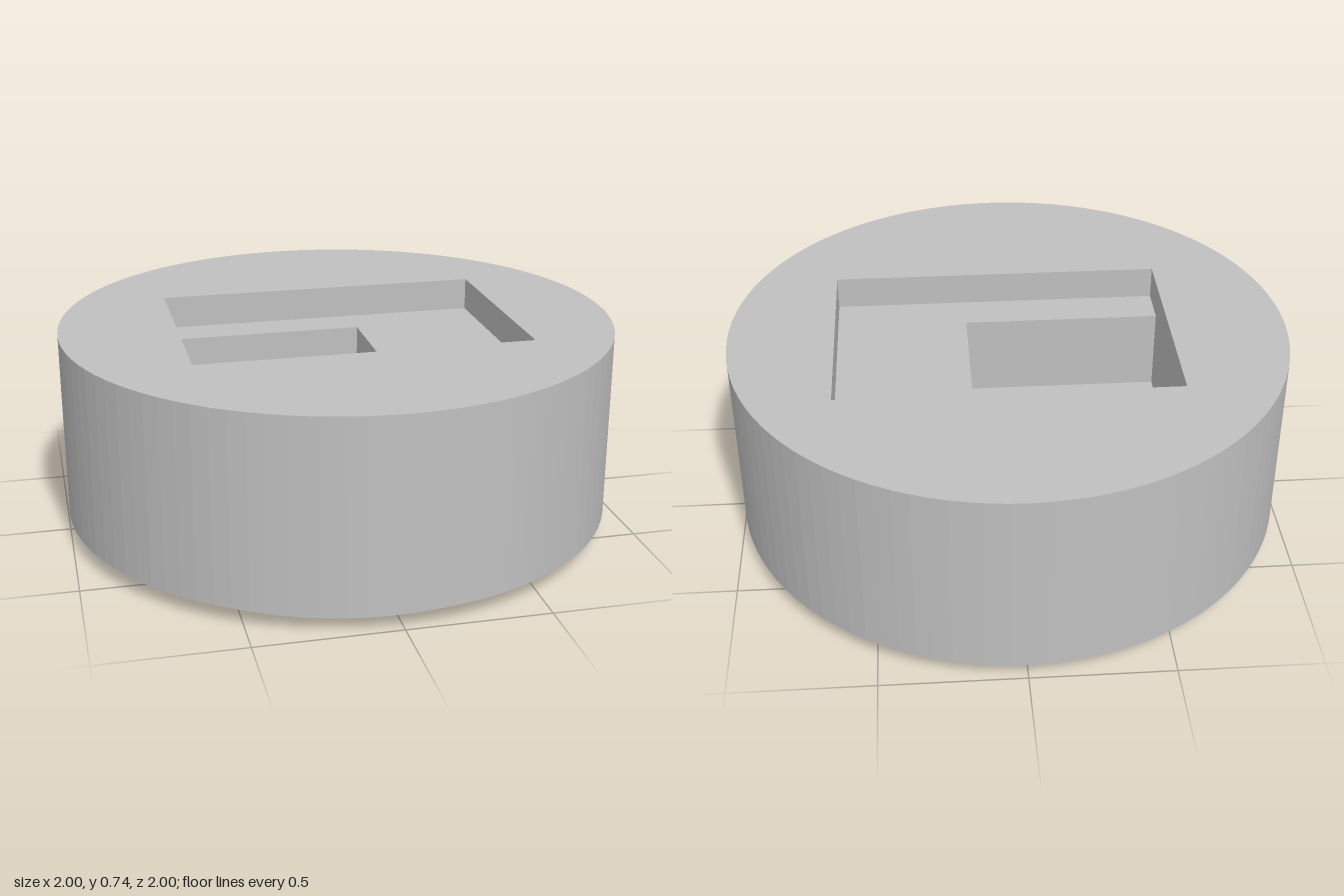
import * as THREE from 'three';

const mirrorZ = (pts) => pts.map(([x, z]) => [x, -z]);
const rect = (x0, x1, z0, z1) => [[x0, z0], [x1, z0], [x1, z1], [x0, z1]];

export function createModel() {
  const group = new THREE.Group();
  const grey = new THREE.MeshStandardMaterial({ color: 0xc0c0c0 });
  grey.name = 'light grey';

  // Horizontal slice of the puck: a disc with polygonal or round holes
  function slab(name, radius, y0, y1, holes, boreRadius) {
    const shape = new THREE.Shape().absarc(0, 0, radius, 0, Math.PI * 2);
    for (const pts of holes) {
      shape.holes.push(new THREE.Path(pts.map(([x, z]) => new THREE.Vector2(x, -z))));
    }
    if (boreRadius) shape.holes.push(new THREE.Path().absarc(0, 0, boreRadius, 0, Math.PI * 2));
    const geometry = new THREE.ExtrudeGeometry(shape, {
      depth: y1 - y0, bevelEnabled: false, curveSegments: 50,
    });
    geometry.rotateX(-Math.PI / 2).translate(0, y0, 0);
    const mesh = new THREE.Mesh(geometry, grey);
    mesh.name = name;
    group.add(mesh);
  }

  // Cut-outs
  const lowerPocket = rect(-0.25, 0.25, 0.11, 0.81);
  const slot = rect(-0.1, 0.1, 0.08, 0.163);
  const pocketWithSlot = [
    [-0.1, 0.08], [0.1, 0.08], [0.1, 0.11], [0.25, 0.11],
    [0.25, 0.81], [-0.25, 0.81], [-0.25, 0.11], [-0.1, 0.11],
  ];
  const both = (pts) => [pts, mirrorZ(pts)];

  // Slices from bottom to top
  slab('bottomLip', 0.9, 0, 0.06, [], 0.85);
  slab('underside', 1, 0.06, 0.12, both(lowerPocket));
  slab('lowerPocketLayer', 1, 0.12, 0.24, both(pocketWithSlot));
  slab('slotLayer', 1, 0.24, 0.32, both(slot));
  slab('deepPocketLayer', 1, 0.32, 0.62, [rect(-0.58, 0.14, -0.253, 0.253)]);
  slab('topPocketLayer', 1, 0.62, 0.74, [rect(-0.58, 0.62, -0.403, 0.403)]);

  return group;
}
